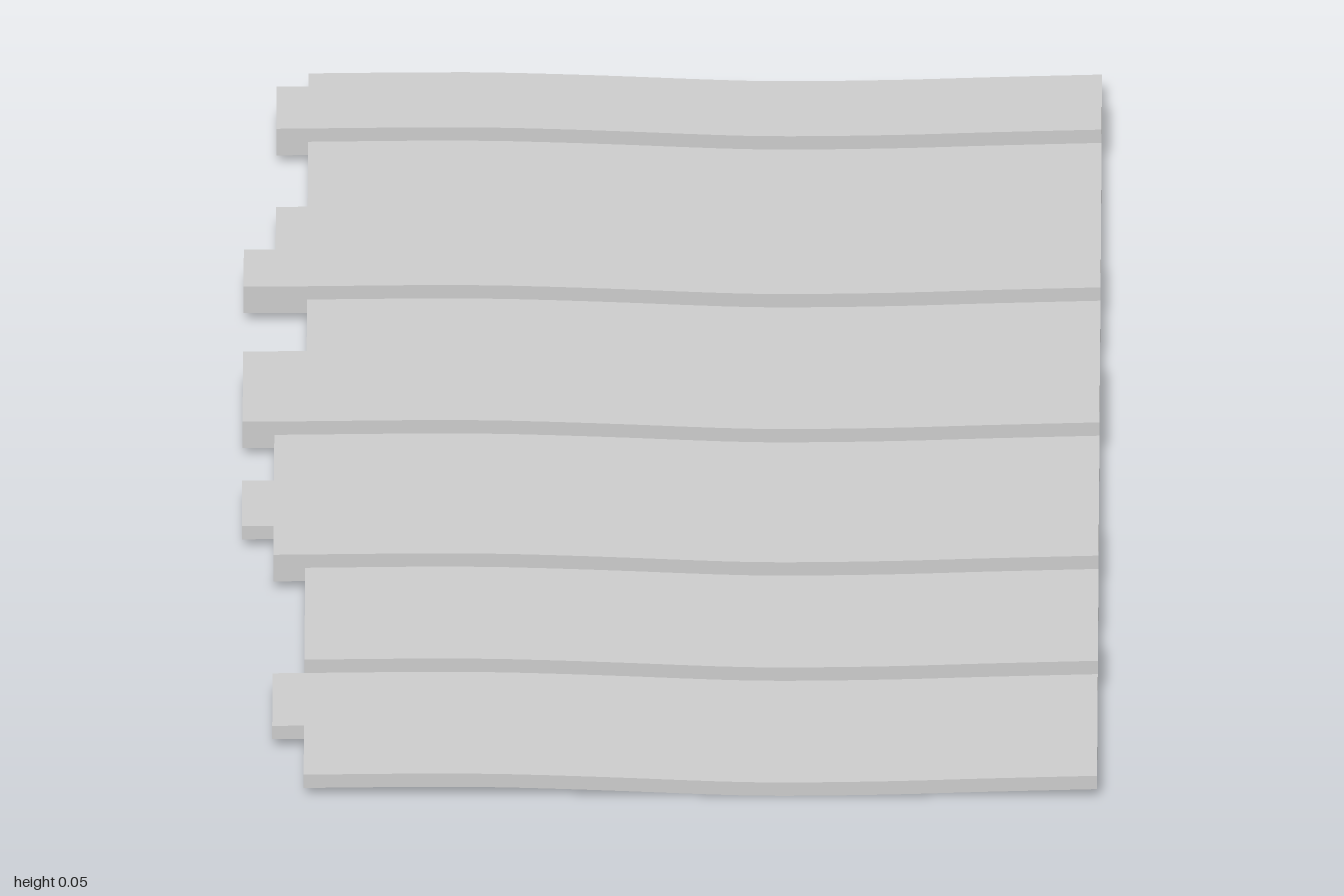
import * as THREE from 'three';
import { toCreasedNormals } from 'three/addons/utils/BufferGeometryUtils.js';

const RIGHT_END = 0.54;
const LAYER = 0.0187; // thickness of one board layer

// Boards from back to front: [z start, z end, ragged end x, layers]
const BOARDS = [
  [-1.0, -0.925, -0.46, 1],
  [-0.925, -0.805, -0.5, 2],
  [-0.805, -0.62, -0.46, 1],
  [-0.62, -0.46, -0.5, 1],
  [-0.46, -0.355, -0.54, 2],
  [-0.355, -0.17, -0.46, 1],
  [-0.17, 0.03, -0.54, 2],
  [0.03, 0.16, -0.5, 1],
  [0.16, 0.29, -0.54, 1],
  [0.29, 0.41, -0.5, 2],
  [0.41, 0.62, -0.46, 1],
  [0.62, 0.71, -0.46, 2],
  [0.71, 0.86, -0.5, 1],
  [0.86, 1.0, -0.46, 1],
];

// Gentle warp shared by every board (underside height along x)
const warp = new THREE.SplineCurve([
  [-0.46, 0.01], [-0.26, 0.012], [-0.1, 0.008], [0.06, 0.0015],
  [0.15, 0], [0.28, 0.002], [0.4, 0.006], [RIGHT_END, 0.01],
].map(([x, y]) => new THREE.Vector2(x, y))).getPoints(21);

// Side profile of a board: warped underside, then the same line raised
function boardGeometry(z0, z1, left, bottom, top) {
  const line = left < -0.46 ? [new THREE.Vector2(left, 0.0095), ...warp] : warp;
  const shift = (h) => line.map((p) => new THREE.Vector2(p.x, Math.max(0, p.y) + h));
  const shape = new THREE.Shape([...shift(bottom), ...shift(top).reverse()]);
  const geo = new THREE.ExtrudeGeometry(shape, { depth: z1 - z0, bevelEnabled: false });
  geo.translate(0, 0, z0);
  return toCreasedNormals(geo, 0.5);
}

export function createModel() {
  const model = new THREE.Group();
  model.name = 'plankPanel';
  const material = new THREE.MeshStandardMaterial({ color: 0xcccccc });

  for (const [z0, z1, left, layers] of BOARDS) {
    const mesh = new THREE.Mesh(boardGeometry(z0, z1, left, 0, layers * LAYER), material);
    mesh.name = layers > 1 ? 'raisedBoard' : 'flatBoard';
    model.add(mesh);
  }
  return model;
}
